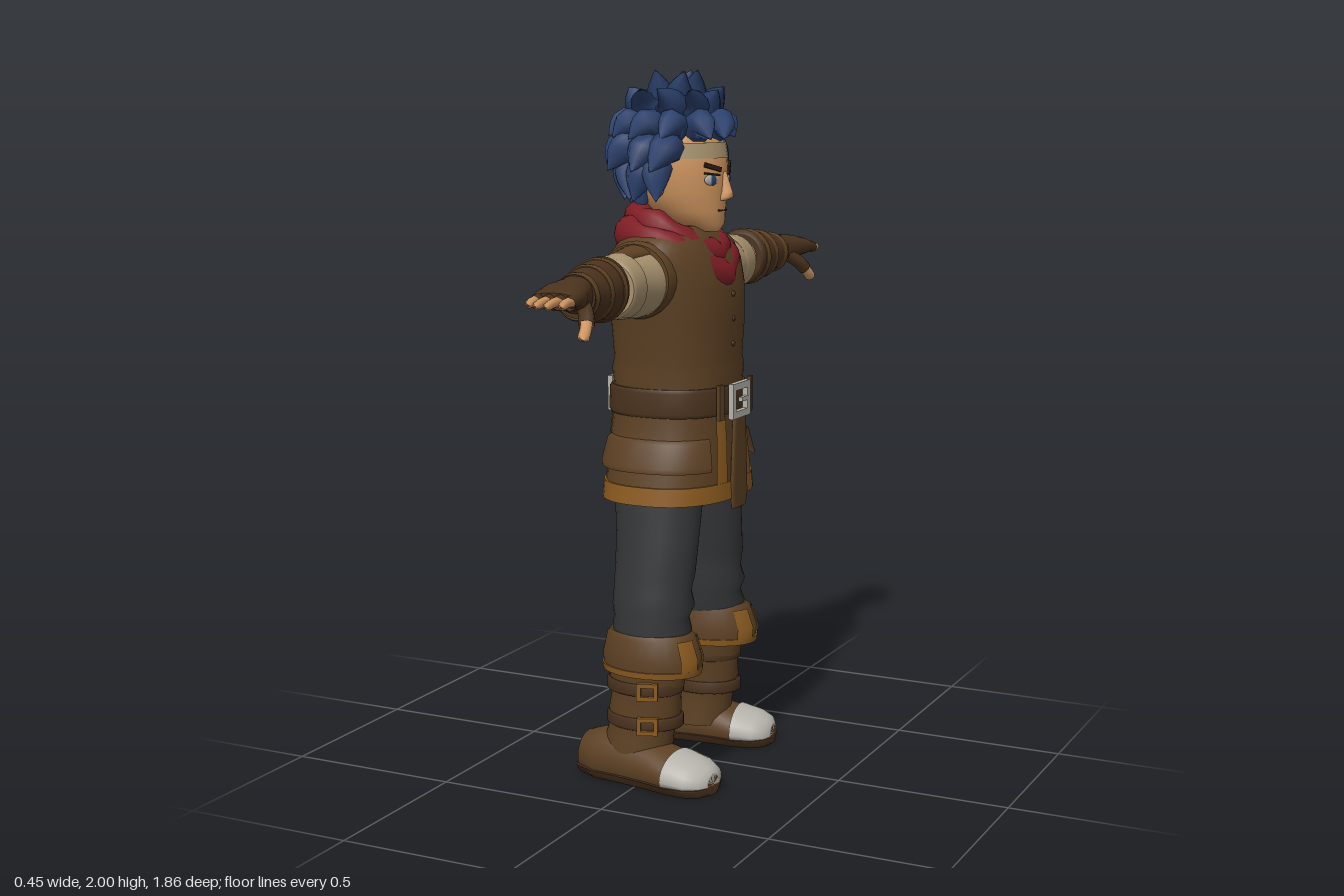
import * as THREE from 'three';

const mat = (name, color, two) => {
  const m = new THREE.MeshStandardMaterial({ color });
  m.name = name;
  if (two) m.side = THREE.DoubleSide;
  return m;
};
const V = (x, y, z) => new THREE.Vector3(x, y, z);
const noise = i => { const s = Math.sin(i * 12.9898) * 43758.5453; return (s - Math.floor(s)) * 2 - 1; };

// Skin through rounded cross-sections [y, centreX, centreZ, radiusX, radiusZ], y ascending.
// With a0..a1 (degrees, 90 is the front) it makes an open curved panel.
function loft(secs, { n = 28, p = 2, a0 = 0, a1 = 360, grow = 0 } = {}) {
  const pos = [], idx = [], full = a1 - a0 === 360, cols = full ? n : n + 1;
  const pw = v => Math.sign(v) * Math.abs(v) ** (2 / p);
  const ring = ([y, cx, cz, rx, rz]) => {
    for (let j = 0; j < cols; j++) {
      const a = (a0 + (a1 - a0) * j / n) * Math.PI / 180;
      pos.push(cx + (rx + grow) * pw(Math.cos(a)), y, cz + (rz + grow) * pw(Math.sin(a)));
    }
  };
  secs.forEach(ring);
  for (let i = 0; i < secs.length - 1; i++) for (let j = 0; j < n; j++) {
    const a = i * cols + j, c = i * cols + (j + 1) % cols;
    idx.push(a, a + cols, c, c, a + cols, c + cols);
  }
  if (full) [secs[0], secs[secs.length - 1]].forEach((s, k) => {
    const b = pos.length / 3;
    ring(s);
    pos.push(s[1], s[0], s[2]);
    for (let j = 0; j < n; j++) {
      const q = b + (j + 1) % n;
      if (k) idx.push(b + j, b + n, q); else idx.push(b + j, q, b + n);
    }
  });
  const g = new THREE.BufferGeometry();
  g.setAttribute('position', new THREE.Float32BufferAttribute(pos, 3));
  g.setIndex(idx);
  g.computeVertexNormals();
  return g;
}

// Tube along points whose radius follows a rule of t
function taper(pts, radius, closed = false, seg = 8, sides = 8) {
  const curve = new THREE.CatmullRomCurve3(pts, closed);
  const g = new THREE.TubeGeometry(curve, seg, 1, sides, closed), a = g.attributes.position, v = V(0, 0, 0);
  for (let i = 0; i < a.count; i++) {
    const t = Math.floor(i / (sides + 1)) / seg, c = curve.getPointAt(t);
    v.fromBufferAttribute(a, i).sub(c).multiplyScalar(radius(t)).add(c);
    a.setXYZ(i, v.x, v.y, v.z);
  }
  return g;
}

// Rectangular buckle frame
function frame(w, h, b, d) {
  const rect = (C, x, y) => new C([[-x, -y], [x, -y], [x, y], [-x, y]].map(q => new THREE.Vector2(...q)));
  const s = rect(THREE.Shape, w / 2, h / 2);
  s.holes.push(rect(THREE.Path, w / 2 - b, h / 2 - b));
  return new THREE.ExtrudeGeometry(s, { depth: d, bevelEnabled: false });
}

export function createModel() {
  const M = {
    skin: mat('skin', 0xcf955f), hair: mat('hair blue', 0x2b406c), red: mat('scarf red', 0x7e1d25, true),
    brown: mat('leather brown', 0x5c4023, true), dark: mat('dark leather', 0x4a321d, true),
    ochre: mat('ochre trim', 0x8a5a1f, true), black: mat('trouser charcoal', 0x353638),
    linen: mat('linen', 0xa8926f), metal: mat('pale metal', 0xb5b2ab), ink: mat('brow brown', 0x2c1c14)
  };
  const root = new THREE.Group(), figure = new THREE.Group(), body = new THREE.Group();
  root.name = 'swordsman'; figure.name = 'figure'; body.name = 'body';
  figure.rotation.y = Math.PI / 2; // the figure looks along +x
  body.position.x = -0.015;
  root.add(figure); figure.add(body);
  const add = (parent, name, geo, m, p = [0, 0, 0], r = [0, 0, 0], s = [1, 1, 1]) => {
    const o = new THREE.Mesh(geo, m);
    o.name = name; o.position.set(...p); o.rotation.set(...r); o.scale.set(...s);
    parent.add(o);
    return o;
  };
  const box = (...d) => new THREE.BoxGeometry(...d), ball = new THREE.SphereGeometry(1, 20, 14);

  // Tunic, skirt, hem
  const tunic = [[0.83, 0, 0, .243, .186], [0.9, 0, 0, .228, .182], [0.97, 0, 0, .212, .178], [1.04, 0, 0, .198, .172],
    [1.12, 0, 0, .193, .17], [1.17, 0, 0, .2, .174], [1.2, 0, 0, .196, .168], [1.3, 0, 0, .212, .172], [1.4, 0, 0, .222, .168],
    [1.47, 0, -.005, .234, .155], [1.515, 0, -.01, .232, .135], [1.545, 0, -.01, .185, .115], [1.57, 0, -.01, .11, .09]];
  add(body, 'tunic', loft(tunic, { p: 2.4, n: 40 }), M.brown);
  add(body, 'hem trim', loft([[.805, 0, 0, .25, .191], [.855, 0, 0, .242, .188]], { p: 2.4, n: 40, grow: .002 }), M.ochre);
  add(body, 'belt', loft([[1.045, 0, 0, .2, .178], [1.055, 0, 0, .206, .184], [1.115, 0, 0, .204, .182], [1.125, 0, 0, .198, .176]],
    { p: 2.4, n: 40 }), M.dark);
  for (const s of [1, -1]) {
    const [f0, f1] = s > 0 ? [-50, 58] : [122, 230];
    add(body, 'pocketFlap', loft([[.895, 0, 0, .245, .198], [.91, 0, 0, .245, .2], [.975, 0, 0, .222, .186], [.985, 0, 0, .208, .176]],
      { p: 2.4, a0: f0, a1: f1 }), M.brown);
    for (const c of [90, 270]) {
      const k = c === 90 ? s : -s;
      add(body, 'skirtEdgeTrim', loft(tunic.slice(0, 4), { p: 2.4, n: 4, a0: k > 0 ? c - 24 : c + 12, a1: k > 0 ? c - 12 : c + 24, grow: .004 }), M.ochre);
    }
    // Flap and buckle, front and back
    add(body, 'centreFlap', loft([[.775, 0, 0, .04, .007], [.81, 0, 0, .052, .007], [1.05, 0, 0, .036, .007]], { p: 4 }), M.brown,
      [0, 0, s * .19]);
    add(body, 'beltBuckle', frame(.115, .1, .02, .016), M.metal, [0, 1.082, s > 0 ? .183 : -.199]);
    add(body, 'bucklePin', box(.05, .012, .012), M.metal, [.025, 1.082, s * .194]);
    add(body, 'beltLoop', box(.022, .1, .012), M.brown, [s * .1, 1.085, .178], [0, s * .2, 0]);
  }
  for (let i = 0; i < 3; i++) add(body, 'button', ball, M.dark, [0, 1.38 - i * .07, .17], [0, 0, 0], [.008, .008, .006]);
  add(body, 'trouserSeat', loft([[.765, 0, 0, .06, .08], [.8, 0, 0, .15, .12], [.95, 0, 0, .18, .14]]), M.black);

  // Scarf: two tilted rolls, a front fold and a tail behind
  const roll = (y, f, w, d) => [V(0, y + .03, -d), V(w * .75, y + .02, -d * .7), V(w, y, 0), V(w * .68, y - .05, d * .68), V(0, f, d),
    V(-w * .68, y - .05, d * .68), V(-w, y, 0), V(-w * .75, y + .02, -d * .7)];
  add(body, 'scarfLowerRoll', taper(roll(1.525, 1.43, .145, .122), t => .05 + .006 * Math.sin(t * 38), true, 48, 12), M.red);
  add(body, 'scarfUpperRoll', taper(roll(1.565, 1.49, .115, .105), t => .042 + .005 * Math.sin(t * 50), true, 48, 12), M.red);
  add(body, 'scarfInside', loft([[1.42, 0, 0, .1, .12], [1.56, 0, -.01, .1, .1]]), M.red);
  const tail = new THREE.Shape([[-.03, 0], [-.055, -.34], [.01, -.3], [.055, -.32], [.03, 0]].map(q => new THREE.Vector2(...q)));
  const tailGeo = new THREE.ExtrudeGeometry(tail, { depth: .014, bevelEnabled: false });
  add(body, 'scarfTail', tailGeo, M.red, [.125, 1.55, -.165], [.17, 0, .06]);
  add(body, 'scarfTailUnder', tailGeo, M.red, [.11, 1.54, -.17], [.1, .3, .12], [.8, .8, 1]);
  add(body, 'scarfKnot', ball, M.red, [.11, 1.54, -.155], [0, 0, 0], [.05, .045, .035]);

  // Head and face
  const head = [[1.553, 0, .085, .028, .04], [1.575, 0, .065, .062, .073], [1.61, 0, .03, .092, .108], [1.66, 0, .01, .113, .132],
    [1.72, 0, .002, .121, .141], [1.78, 0, -.004, .123, .142], [1.84, 0, -.012, .112, .126], [1.89, 0, -.015, .075, .085]];
  add(body, 'neck', new THREE.CylinderGeometry(.065, .07, .18, 20), M.skin, [0, 1.56, -.01]);
  add(body, 'head', loft(head, { n: 32 }), M.skin);
  add(body, 'headband', loft([[1.757, 0, -.003, .126, .146], [1.8, 0, -.007, .124, .143]], { n: 32 }), M.linen);
  add(body, 'nose', loft([[1.64, 0, .138, .018, .012], [1.65, 0, .142, .02, .028], [1.665, 0, .14, .014, .027], [1.72, 0, .135, .009, .012]],
    { n: 12 }), M.skin);
  add(body, 'mouth', box(.05, .005, .008), M.ink, [0, 1.612, .134]);
  for (const s of [1, -1]) {
    add(body, 'ear', ball, M.skin, [s * .122, 1.685, -.005], [0, s * .3, 0], [.014, .036, .024]);
    add(body, 'eyeWhite', ball, M.metal, [s * .054, 1.698, .127], [0, s * .35, 0], [.027, .015, .006]);
    add(body, 'iris', ball, M.hair, [s * .051, 1.698, .131], [0, s * .35, 0], [.012, .015, .005]);
    add(body, 'upperLid', box(.056, .006, .008), M.ink, [s * .054, 1.714, .13], [0, s * .35, s * .12]);
    add(body, 'eyebrow', box(.06, .013, .009), M.ink, [s * .053, 1.733, .131], [0, s * .38, s * .25]);
  }

  // Hair: skull cap with rows of curved locks [elevation, count, from, to, reach, lift, width]
  add(body, 'hairCap', ball, M.hair, [0, 1.805, -.035], [0, 0, 0], [.138, .125, .138]);
  const rows = [[70, 5, 20, 308, 1.16, .035, .046], [46, 9, 0, 320, 1.25, .02, .05], [20, 11, 0, 328, 1.28, -.045, .046],
    [-6, 9, 72, 288, 1.26, -.05, .048], [-30, 8, 88, 272, 1.16, -.07, .046], [-50, 5, 125, 235, 1.1, -.06, .042]];
  let k = 1;
  for (const [el, n, from, to, reach, lift, w] of rows) for (let i = 0; i < n; i++, k++) {
    const az = (from + (to - from) * i / (n - 1) + noise(k) * 7) * Math.PI / 180, e = el * Math.PI / 180;
    const at = (f, turn, up) => V(Math.sin(az + turn) * Math.cos(e) * .14 * f, 1.79 + Math.sin(e) * .15 * f + up,
      -.01 + Math.cos(az + turn) * Math.cos(e) * .152 * f);
    const twist = noise(k + 50) * .28;
    add(body, 'hairLock', taper([at(.62, 0, 0), at(1, 0, .012), at(reach + noise(k + 9) * .07, twist, lift)],
      t => w * Math.sin(Math.PI * (.3 + .698 * t))), M.hair);
  }
  add(body, 'hairCrownLock', taper([V(.03, 1.87, -.02), V(.045, 1.93, -.01), V(.085, 1.997, 0)], t => .045 * Math.sin(Math.PI * (.3 + .698 * t))), M.hair);

  for (const s of [1, -1]) {
    // Arm: built along y, then laid sideways; "down" is s * x
    const arm = new THREE.Group();
    arm.name = 'arm'; arm.position.y = 1.43; arm.rotation.z = -s * Math.PI / 2;
    figure.add(arm);
    const fwd = y => s > 0 ? -.035 + Math.max(0, y - .6) * .12 : -.02 + Math.max(0, y - .3) * .16;
    const sec = a => a.map(([y, d, ru, rz]) => [y, s * d, fwd(y), ru, rz]);
    add(arm, 'sleeve', loft(sec([[.17, 0, .09, .1], [.23, .005, .095, .1], [.28, .01, .092, .095], [.34, .008, .082, .085], [.4, .005, .08, .078]])), M.linen);
    add(arm, 'sleeveCuff', loft(sec([[.35, .005, .083, .082], [.36, .005, .09, .087], [.425, .005, .082, .08], [.432, .005, .072, .072]])), M.linen);
    add(arm, 'shoulderTab', loft(sec([[.2, -.07, .03, .06], [.27, -.07, .026, .045], [.35, -.068, .022, .028], [.37, -.066, .016, .018]])), M.brown);
    add(arm, 'armholeBand', loft(sec([[.2, 0, .105, .112], [.235, 0, .108, .112], [.25, 0, .1, .105]])), M.brown);
    add(arm, 'elbow', loft(sec([[.38, 0, .06, .058], [.46, 0, .055, .053], [.53, 0, .058, .055]])), M.skin);
    add(arm, 'bracer', loft(sec([[.485, -.003, .07, .07], [.49, -.003, .085, .08], [.53, -.002, .082, .08], [.57, 0, .074, .076],
      [.61, 0, .072, .072], [.65, -.002, .062, .062], [.7, -.005, .056, .058]])), M.dark);
    for (const [y, r] of [[.52, .086], [.6, .076], [.68, .063]])
      add(arm, 'bracerStrap', loft(sec([[y - .014, -.002, r - .004, r - .004], [y - .006, -.002, r, r], [y + .006, -.002, r, r], [y + .014, -.002, r - .004, r - .004]])), M.brown);
    add(arm, 'glove', loft(sec([[.69, -.008, .05, .05], [.73, -.012, .042, .055], [.78, -.014, .036, .067], [.83, -.012, .028, .068], [.85, -.01, .02, .062]]), { p: 2.4 }), M.dark);
    for (let i = 0; i < 4; i++) {
      const z = fwd(.85) + .046 - i * .031, tip = [.908, .928, .922, .9][i];
      const line = (a, b, d) => [V(s * -.01, a, z), V(s * (-.012 + d / 2), (a + b) / 2, z * 1.02), V(s * (-.008 + d), b, z * 1.05)];
      add(arm, 'gloveFinger', taper(line(.82, .868, .002), () => .0175), M.dark);
      add(arm, 'finger', taper(line(.85, tip, .006), t => t > .95 ? .002 : .0145 - .004 * t), M.skin);
    }
    const tz = fwd(.75);
    add(arm, 'gloveThumb', taper([V(s * .005, .73, tz + .03), V(s * .035, .765, tz + .06), V(s * .055, .785, tz + .07)], () => .021), M.dark);
    add(arm, 'thumb', taper([V(s * .045, .775, tz + .066), V(s * .07, .8, tz + .075), V(s * .088, .82, tz + .078)], t => t > .95 ? .002 : .016), M.skin);

    // Trouser leg with folds above the boot
    const leg = new THREE.Group();
    leg.name = 'leg'; body.add(leg);
    const side = a => a.map(([y, x, z, rx, rz]) => [y, s * x, z, rx, rz]);
    add(leg, 'trouserLeg', loft(side([[.39, .185, 0, .085, .105], [.44, .18, .005, .098, .116], [.475, .175, 0, .092, .11], [.51, .172, .005, .102, .12],
      [.55, .168, 0, .094, .114], [.6, .162, .005, .098, .118], [.7, .145, .005, .098, .122], [.82, .125, 0, .105, .13], [.95, .11, 0, .1, .13]])), M.black);
    // Boot: shaft, straps, folded cuff
    add(leg, 'bootShaft', loft(side([[.06, .2, -.03, .085, .1], [.13, .2, -.025, .08, .1], [.17, .197, -.015, .076, .1], [.21, .195, -.01, .082, .108],
      [.25, .193, -.008, .076, .104], [.29, .192, -.005, .084, .112], [.36, .19, 0, .086, .112]])), M.brown);
    for (const y of [.18, .28]) {
      add(leg, 'bootStrap', loft(side([[y - .018, .195, -.01, .082, .108], [y - .014, .195, -.01, .088, .114], [y + .014, .195, -.01, .088, .114], [y + .018, .195, -.01, .082, .108]])), M.dark);
      add(leg, 'strapBuckle', frame(.06, .05, .012, .014), M.ochre, [s * .272, y, .035], [0, s * 1.2, 0]);
    }
    const cuff = side([[.335, .19, .01, .106, .145], [.37, .19, .01, .108, .148], [.425, .188, .006, .1, .132], [.438, .187, .004, .09, .12]]);
    add(leg, 'bootCuff', loft(cuff), M.brown);
    add(leg, 'cuffTrim', loft(side([[.322, .19, .01, .106, .145], [.34, .19, .01, .108, .148]]), { grow: .002 }), M.ochre);
    for (const d of [-1, 1]) add(leg, 'cuffFrontTrim', loft(cuff.slice(0, 3), { n: 6, a0: 90 + d * 22 - 14, a1: 90 + d * 22 + 14, grow: .004 }), M.ochre);

    // Foot: laid along z, flattened underneath
    const foot = new THREE.Group();
    foot.name = 'foot'; foot.position.set(s * .215, 0, s > 0 ? -.01 : 0); foot.rotation.y = s * .12;
    foot.scale.z = s > 0 ? .92 : 1;
    leg.add(foot);
    const shape = [[-.212, 0, -.045, .03, .035], [-.195, 0, -.05, .06, .065], [-.13, 0, -.05, .082, .088], [-.04, 0, -.05, .08, .09],
      [.05, 0, -.045, .084, .075], [.12, 0, -.04, .094, .062], [.18, 0, -.035, .086, .054], [.215, 0, -.032, .06, .042], [.228, 0, -.03, .03, .025]];
    const flat = (secs, lo, hi, grow) => {
      const g = loft(secs, { grow }).rotateX(Math.PI / 2), a = g.attributes.position;
      for (let i = 0; i < a.count; i++) a.setY(i, Math.min(hi, Math.max(lo, a.getY(i))));
      g.computeVertexNormals();
      return g;
    };
    add(foot, 'shoe', flat(shape, .015, 1, 0), M.brown);
    add(foot, 'sole', flat(shape, 0, .026, .007), M.dark);
    add(foot, 'toeCap', flat([[.11, 0, -.041, .094, .063], ...shape.slice(5)], .027, 1, .005), M.metal);
  }
  return root;
}
